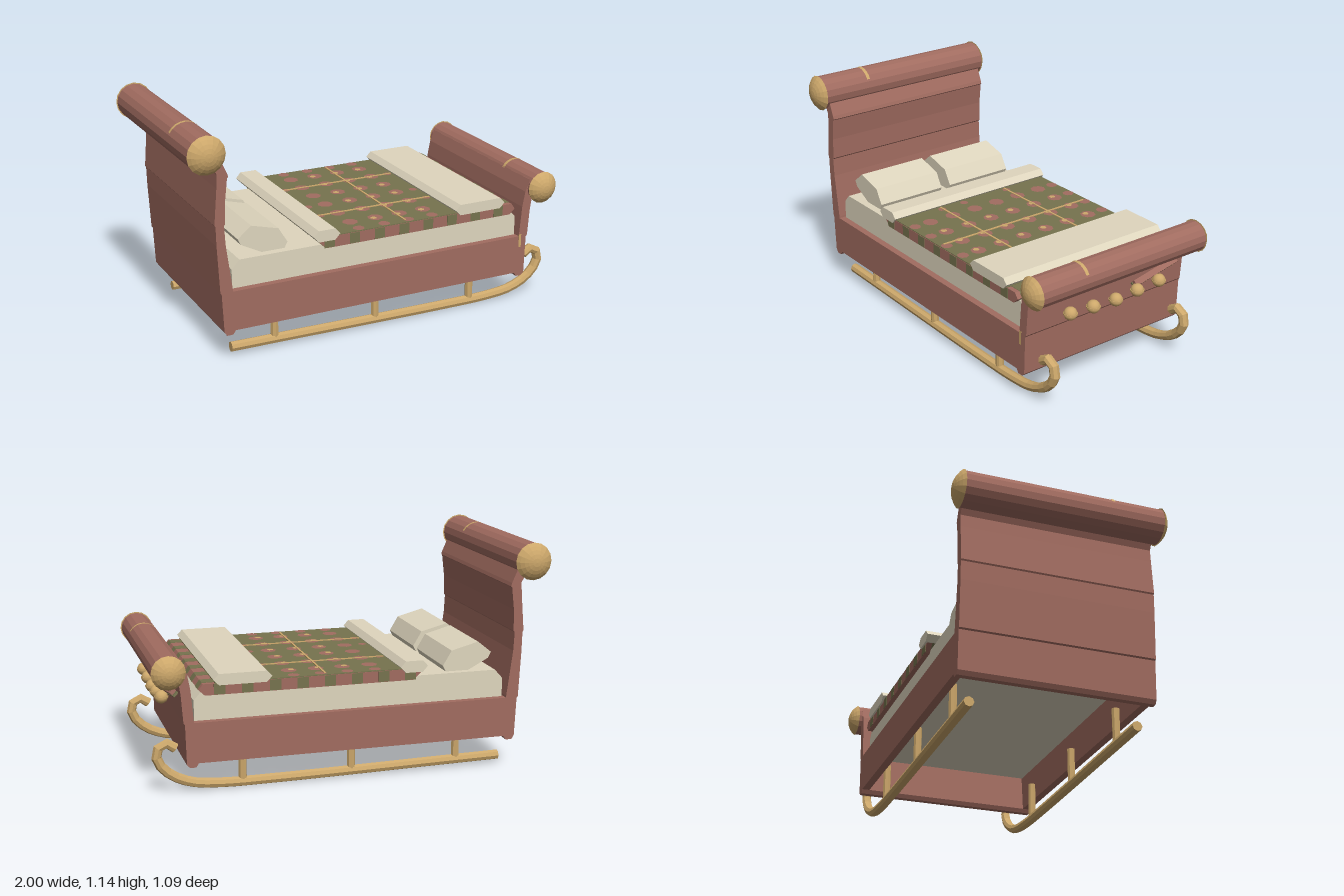
import * as THREE from 'three';

const mat = (name, color) => {
  const m = new THREE.MeshStandardMaterial({ color });
  m.name = name;
  return m;
};

export function createModel() {
  const wood = mat('red wood', 0xa16c60);
  const cream = mat('cream linen', 0xdfd6be);
  const gold = mat('gold', 0xcda86b);
  const green = mat('green cloth', 0x76734e);
  const model = new THREE.Group();

  const addSmooth = (name, geo, material, x = 0, y = 0, z = 0) => {
    const m = new THREE.Mesh(geo, material);
    m.name = name;
    m.position.set(x, y, z);
    model.add(m);
    return m;
  };
  // Faceted part, so every face keeps its own normal
  const add = (name, geo, material, x, y, z) => {
    const g = geo.index ? geo.toNonIndexed() : geo;
    g.computeVertexNormals();
    return addSmooth(name, g, material, x, y, z);
  };
  const box = (name, material, x0, x1, y0, y1, z0, z1) =>
    add(name, new THREE.BoxGeometry(x1 - x0, y1 - y0, z1 - z0), material,
      (x0 + x1) / 2, (y0 + y1) / 2, (z0 + z1) / 2);
  // Side profile in x and y, carried across from z0 to z1
  const slab = (name, material, pts, z0, z1) => {
    const shape = new THREE.Shape(pts.map(([x, y]) => new THREE.Vector2(x, y)));
    const geo = new THREE.ExtrudeGeometry(shape, { depth: z1 - z0, bevelEnabled: false });
    return add(name, geo, material, 0, 0, z0);
  };

  // Curved end boards with small plank steps
  slab('headboard', wood, [
    [-0.825, 0.14], [-0.795, 0.14], [-0.78, 0.16], [-0.79, 0.37], [-0.82, 0.6], [-0.825, 0.695],
    [-0.819, 0.702], [-0.817, 0.81], [-0.804, 0.922], [-0.798, 0.928], [-0.803, 0.945],
    [-0.84, 1.03], [-0.9, 1.03], [-0.853, 0.945], [-0.857, 0.88], [-0.872, 0.702], [-0.867, 0.695],
    [-0.865, 0.6], [-0.853, 0.362], [-0.847, 0.355], [-0.838, 0.16],
  ], -0.485, 0.485);
  slab('footboard', wood, [
    [0.79, 0.14], [0.82, 0.14], [0.835, 0.155], [0.84, 0.353], [0.847, 0.362], [0.857, 0.5],
    [0.866, 0.56], [0.9, 0.64], [0.85, 0.66], [0.825, 0.6], [0.81, 0.52], [0.797, 0.36], [0.778, 0.16],
  ], -0.485, 0.485);
  box('footboardInlay', gold, 0.797, 0.811, 0.3, 0.37, 0.484, 0.4865);

  // Rolled tops with shallow domed caps and a thin gold inlay
  for (const [part, x, y, r] of [['head', -0.907, 1.05, 0.088], ['foot', 0.915, 0.615, 0.077]]) {
    add(part + 'Roll', new THREE.CylinderGeometry(r, r, 1.01, 16).rotateX(Math.PI / 2), wood, x, y);
    add(part + 'RollInlay', new THREE.CylinderGeometry(r + 0.002, r + 0.002, 0.018, 8, 1, true, -Math.PI / 3, Math.PI * 2 / 3)
      .rotateX(-Math.PI / 2), gold, x, y, 0.24);
    const rim = r + 0.006, rise = 0.042;
    const ball = (rim * rim + rise * rise) / (2 * rise);
    for (const s of [-1, 1]) {
      const cap = new THREE.SphereGeometry(ball, 16, 5, 0, Math.PI * 2, 0, Math.asin(rim / ball))
        .translate(0, rise - ball, 0).rotateX(s * Math.PI / 2);
      add(part + 'RollCap', cap, gold, x, y, s * 0.503);
      const back = new THREE.CircleGeometry(rim, 16);
      if (s > 0) back.rotateY(Math.PI);
      add(part + 'RollCapBack', back, gold, x, y, s * 0.503);
    }
  }

  // Side rails
  for (const s of [-1, 1]) {
    box('sideRail', wood, -0.8, 0.81, 0.16, 0.36, s * 0.465 - 0.02, s * 0.465 + 0.02);
  }

  // Mattress and pillows
  slab('mattress', cream, [
    [-0.78, 0.345], [0.79, 0.345], [0.79, 0.46], [0.755, 0.5], [-0.74, 0.5], [-0.78, 0.455],
  ], -0.45, 0.45);
  for (const z of [-0.415, 0.025]) {
    slab('pillow', cream, [
      [-0.73, 0.585], [-0.715, 0.555], [-0.61, 0.5], [-0.49, 0.5], [-0.475, 0.53],
      [-0.52, 0.605], [-0.66, 0.642],
    ], z, z + 0.385);
  }

  // Quilt with folded sheet and throw
  const quilt = (e) => [
    [-0.34 - e, 0.525], [-0.3, 0.487 - e], [0.74, 0.487 - e], [0.77 + e, 0.515],
    [0.75, 0.543 + e], [-0.3, 0.543 + e],
  ];
  slab('quilt', wood, quilt(0), -0.475, 0.475);
  for (let i = -3; i <= 3; i++) {
    slab('quiltEndStripe', green, quilt(0.002), i * 0.14 - 0.03, i * 0.14 + 0.03);
  }
  for (const s of [-1, 1]) {
    for (let i = 0; i < 8; i++) {
      const x = -0.31 + i * 0.136;
      box('quiltSideStripe', green, x, x + 0.055, 0.489, 0.542, s * 0.475 - 0.002, s * 0.475 + 0.002);
    }
  }
  box('quiltTop', green, -0.28, 0.69, 0.541, 0.547, -0.473, 0.473);
  const pad = (name, x0, x1, y0, y1) => {
    const c = 0.026, m = (y0 + y1) / 2;
    slab(name, cream, [
      [x0, m], [x0 + c, y0], [x1 - c, y0], [x1, m], [x1 - c, y1], [x0 + c, y1],
    ], -0.485, 0.485);
  };
  pad('foldedSheet', -0.37, -0.23, 0.527, 0.585);
  pad('throw', 0.415, 0.7, 0.535, 0.59);

  // Quilt spots and stitched gold lines
  const disc = (name, material, r, sides, x, y, z) =>
    add(name, new THREE.CircleGeometry(r, sides).rotateX(-Math.PI / 2), material, x, y, z);
  [-0.11, 0.03, 0.165, 0.3].forEach((x, i) => {
    for (let j = 0; j < 8; j++) {
      const z = -0.49 + j * 0.14;
      const edge = j === 0 || j === 7;
      disc('quiltSpot', wood, edge ? 0.03 : 0.04, 8, x, 0.5485, edge ? Math.sign(z) * 0.443 : z);
      if (!edge && i > 0) disc('quiltSpotCentre', gold, 0.017, 6, x - 0.012, 0.55, z + 0.006);
    }
  });
  for (const z of [-0.21, 0.07, 0.21]) {
    disc('quiltEdgeSpot', wood, 0.022, 8, -0.205, 0.5485, z);
    disc('quiltEdgeSpot', wood, 0.022, 8, 0.4, 0.5485, z);
  }
  for (const z of [-0.21, 0.205]) box('quiltLine', gold, -0.23, 0.42, 0.546, 0.551, z - 0.005, z + 0.005);
  box('quiltLine', gold, 0.14, 0.15, 0.546, 0.551, -0.45, 0.45);

  // Sleigh runners with curled fronts, on short posts
  const path = new THREE.CatmullRomCurve3([
    [-0.78, 0.041], [-0.4, 0.036], [0, 0.03], [0.4, 0.026], [0.65, 0.028], [0.8, 0.045],
    [0.9, 0.09], [0.957, 0.15], [0.969, 0.2], [0.947, 0.24], [0.912, 0.247], [0.877, 0.222],
  ].map(([x, y]) => new THREE.Vector3(x, y, 0)));
  for (const s of [-1, 1]) {
    add('runner', new THREE.TubeGeometry(path, 40, 0.025, 8), gold, 0, 0, s * 0.41);
    for (const [t, turn] of [[0, -1], [1, 1]]) {
      const end = add('runnerEnd', new THREE.CircleGeometry(0.025, 8), gold);
      const p = path.getPointAt(t);
      end.position.set(p.x, p.y, s * 0.41);
      end.lookAt(end.position.clone().addScaledVector(path.getTangentAt(t), turn));
    }
    for (const x of [-0.55, 0, 0.55]) {
      add('runnerPost', new THREE.CylinderGeometry(0.02, 0.02, 0.18, 8), gold, x, 0.13, s * 0.41);
    }
  }

  // Row of round bells beneath the foot roll
  for (const [z, y] of [[0.28, 0.442], [0.14, 0.433], [0, 0.425], [-0.135, 0.433], [-0.275, 0.442]]) {
    addSmooth('bell', new THREE.SphereGeometry(0.033, 14, 10), gold, 0.915, y, z);
    addSmooth('bellBand', new THREE.CylinderGeometry(0.035, 0.035, 0.008, 14), gold, 0.915, y, z);
  }

  // Slanted bell strap in two colours
  for (const [material, height, shift] of [[wood, 0.018, 0.006], [green, 0.01, -0.008]]) {
    const strap = add('bellStrap', new THREE.BoxGeometry(0.03, height, 0.285), material,
      0.885 + shift, 0.475 + shift, -0.272);
    strap.rotation.set(0.14, 0.07, -0.8);
  }

  return model;
}
